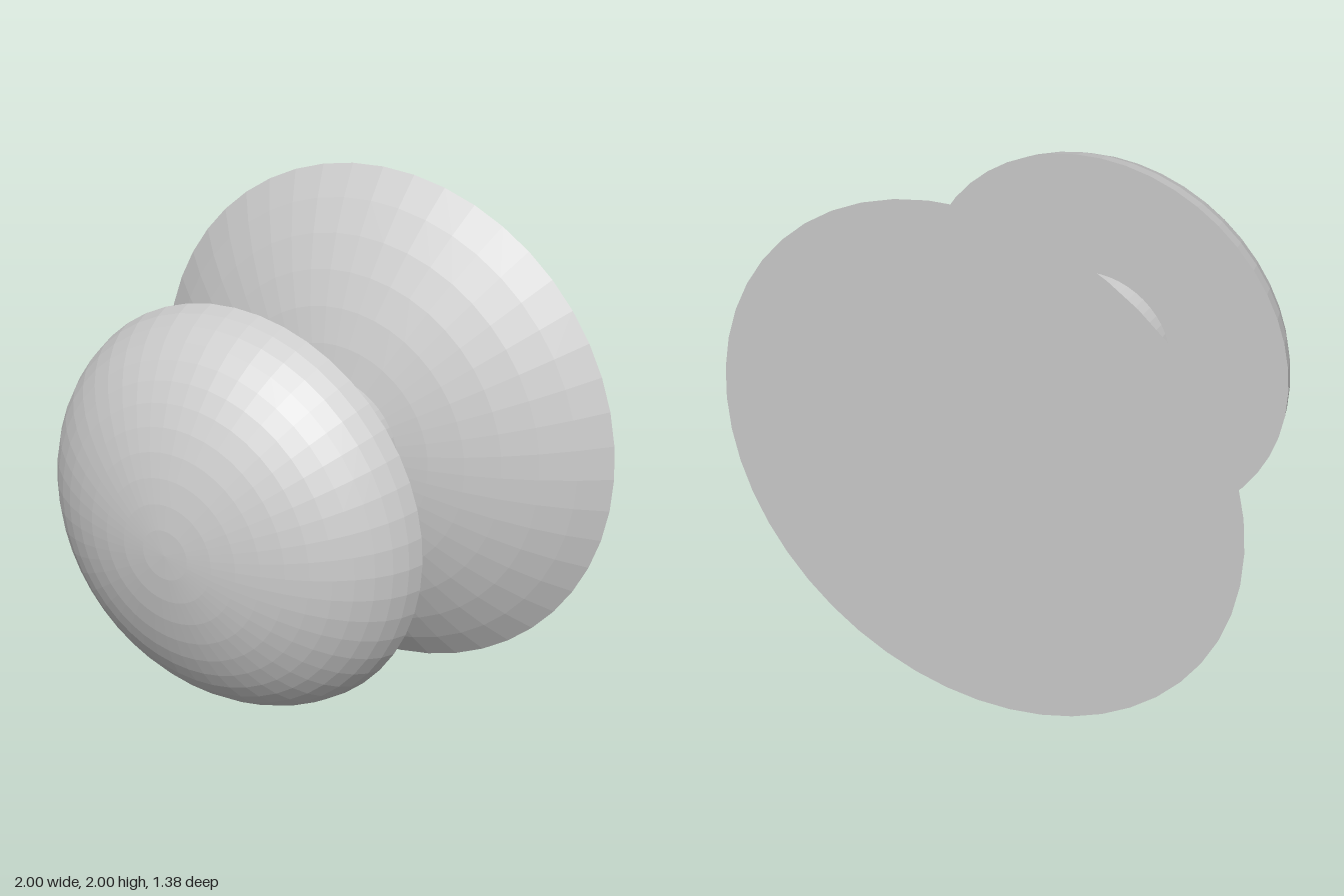
import * as THREE from 'three';

const SEGMENTS = 48;
const material = new THREE.MeshStandardMaterial({ color: 0xcccccc, flatShading: true });

// Solid of revolution about the z axis, from [radius, z] profile points running back to front
function turned(name, profile) {
  const points = profile.map(([r, z]) => new THREE.Vector2(r, z));
  const geometry = new THREE.LatheGeometry(points, SEGMENTS);
  geometry.rotateX(Math.PI / 2);
  const mesh = new THREE.Mesh(geometry, material);
  mesh.name = name;
  return mesh;
}

// Domed profile with a flat back: an elliptical arc from the rim at zBack to the tip
function dome(radius, depth, zCentre, zBack, rings) {
  const start = Math.asin((zBack - zCentre) / depth);
  const profile = [[0, zBack]];
  for (let i = 0; i <= rings; i++) {
    const a = start + (Math.PI / 2 - start) * (i / rings);
    profile.push([i === rings ? 0 : radius * Math.cos(a), zCentre + depth * Math.sin(a)]);
  }
  return profile;
}

export function createModel() {
  const model = new THREE.Group();
  model.name = 'doorKnob';

  // Shallow spherical backplate
  model.add(turned('backplate', dome(1.56, 1.56, -1.887, -0.69, 8)));
  // Straight neck, its ends buried in the two domes
  model.add(turned('neck', [[0, -0.4], [0.29, -0.4], [0.29, 0.28], [0, 0.28]]));
  // Rounded grip with a flat back
  model.add(turned('grip', dome(0.761, 0.49, 0.2, 0.26, 12)));

  model.position.y = 1;
  const root = new THREE.Group();
  root.add(model);
  return root;
}
